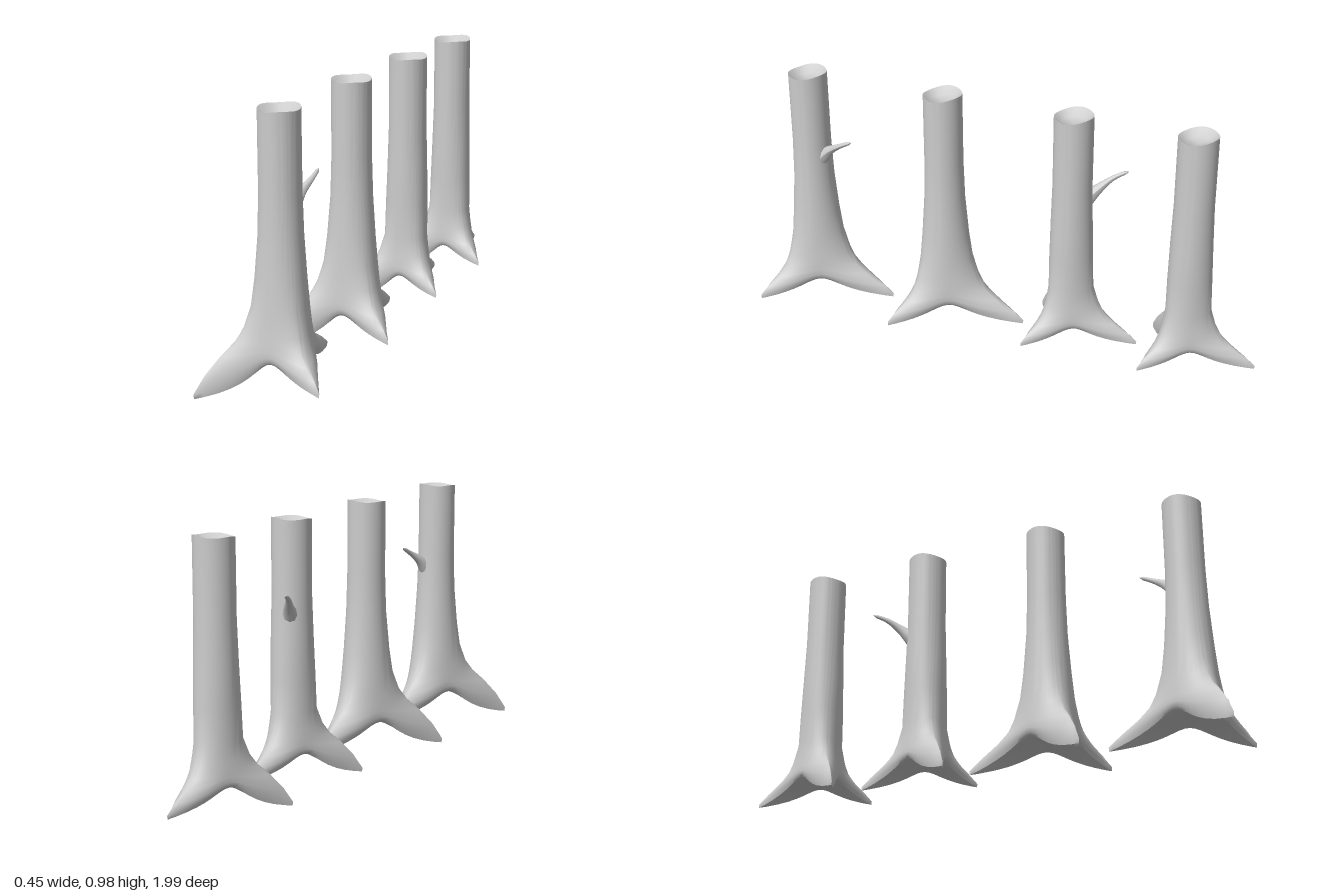
import * as THREE from 'three';
import { toCreasedNormals } from 'three/addons/utils/BufferGeometryUtils.js';

const material = new THREE.MeshStandardMaterial({ color: 0xcccccc });
const REACH = 0.325, CORE = 0.09;

// Root directions with their length, extra drop at the tip and ridge swelling
const ROOTS = [
  { angle: -0.836, length: 0.313, drop: 0.052, swell: 0.1 },
  { angle: 0.937, length: 0.27, drop: -0.01, swell: 0 },
  { angle: 3.117, length: REACH, drop: 0, swell: 0 },
];

// Rings from the hollow top, down the bark and under the roots:
// [radius at root, height at root, radius between roots, height between roots]
const RINGS = [
  [0, 0.95, 0, 0.95], [0.045, 0.955, 0.045, 0.955], [0.067, 0.976, 0.067, 0.976],
  [0.0725, 0.979, 0.0725, 0.979], [0.073, 0.7, 0.073, 0.7], [0.078, 0.55, 0.077, 0.55],
  [0.092, 0.4, 0.086, 0.4], [0.107, 0.3, 0.094, 0.3], [0.135, 0.22, 0.1, 0.235],
  [0.17, 0.172, 0.105, 0.2], [0.22, 0.137, 0.108, 0.17], [0.28, 0.1, 0.11, 0.15],
  [0.322, 0.068, 0.108, 0.135],
  [0.32, 0.052, 0.1, 0.125], [0.25, 0.082, 0.08, 0.121], [0.15, 0.108, 0.05, 0.121],
  [0, 0.122, 0, 0.122],
];
const UNDERSIDE = 13;

// Angles around the trunk, packed more closely near each root
function columns(steps = 9) {
  const list = [];
  ROOTS.forEach((root, i) => {
    const next = ROOTS[(i + 1) % 3];
    let gap = next.angle - root.angle;
    if (gap < 0) gap += Math.PI * 2;
    for (let j = 0; j < steps; j++) {
      const q = j / steps;
      list.push({ root, a: root.angle + (gap / 2) * q ** 1.5, t: q ** 1.5 });
    }
    for (let j = steps; j > 0; j--) {
      const q = j / steps;
      list.push({ root: next, a: root.angle + gap - (gap / 2) * q ** 1.5, t: q ** 1.5 });
    }
  });
  return list;
}

function trunkGeometry(rootScale) {
  const cols = columns(), n = cols.length, pos = [], index = [];
  RINGS.forEach(([rr, yr, rv, yv], k) => {
    for (const { root, a, t } of cols) {
      // Stretch the ridge to this root's own length and droop
      const f = Math.max(0, (rr - CORE) / (REACH - CORE));
      const ridgeR = rr + f * (root.length - REACH);
      const ridgeY = yr - root.drop * f * f + (k < UNDERSIDE ? root.swell * f * Math.max(0, 1 - f) : 0);
      const w = Math.sin(t * Math.PI / 2) ** (k < 9 ? 1.6 : k < 12 ? 1.2 : 1);
      let r = rr ? 1 / THREE.MathUtils.lerp(1 / ridgeR, 1 / rv, w) : 0;
      let y = THREE.MathUtils.lerp(ridgeY, yv, w);
      // Smaller trunks keep the same shaft above the flare
      r *= yr < 0.35 ? rootScale : yr < 0.5 ? (1 + rootScale) / 2 : 1;
      if (y < 0.35) y = 0.12 + (y - 0.12) * rootScale;
      const x = r * Math.sin(a), z = r * Math.cos(a);
      // Slightly uneven cut at the top
      if (yr > 0.9) y += -0.07 * z + (r / 0.0725) * 0.003 * Math.sin(3 * a);
      pos.push(x, y, z);
    }
    if (k === 0) return;
    for (let j = 0; j < n; j++) {
      const tl = (k - 1) * n + j, tr = (k - 1) * n + (j + 1) % n;
      const bl = tl + n, br = tr + n;
      if (k < RINGS.length - 1) index.push(bl, br, tr);
      else index.push(tl, bl, tr);
      if (k > 1 && k < RINGS.length - 1) index.push(tl, bl, tr);
    }
  });
  const geo = new THREE.BufferGeometry();
  geo.setAttribute('position', new THREE.Float32BufferAttribute(pos, 3));
  geo.setIndex(index);
  return toCreasedNormals(geo, 0.9);
}

// Tapered twig: a tube whose rings shrink toward a closed tip
function branchGeometry(points) {
  const curve = new THREE.CatmullRomCurve3(points.map(p => new THREE.Vector3(...p)));
  const segs = 12, sides = 10;
  const geo = new THREE.TubeGeometry(curve, segs, 1, sides);
  const pos = geo.attributes.position, v = new THREE.Vector3();
  for (let i = 0; i < pos.count; i++) {
    const ring = Math.floor(i / (sides + 1)), u = ring / segs;
    const c = curve.getPointAt(u);
    const radius = ring === segs ? 0.001 : 0.007 + 0.025 * (1 - u) ** 2;
    v.fromBufferAttribute(pos, i).sub(c).multiplyScalar(radius).add(c);
    pos.setXYZ(i, v.x, v.y, v.z);
  }
  geo.computeVertexNormals();
  return geo;
}

export function createModel() {
  const group = new THREE.Group();
  group.name = 'treeStumps';
  const trunks = [
    { z: 0.782, scale: 1, branch: [[0.02, 0.635, -0.045], [0.03, 0.675, -0.085], [0.045, 0.712, -0.14], [0.047, 0.737, -0.19]] },
    { z: 0.235, scale: 1 },
    { z: -0.27, scale: 0.84, branch: [[-0.025, 0.635, -0.045], [-0.045, 0.675, -0.085], [-0.075, 0.712, -0.13], [-0.1, 0.737, -0.182]] },
    { z: -0.725, scale: 0.84 },
  ];
  trunks.forEach(({ z, scale, branch }, i) => {
    const tree = new THREE.Group();
    tree.name = `tree${i + 1}`;
    tree.position.set(0.006, 0, z);
    const trunk = new THREE.Mesh(trunkGeometry(scale), material);
    trunk.name = 'trunkWithRoots';
    tree.add(trunk);
    if (branch) {
      const twig = new THREE.Mesh(branchGeometry(branch), material);
      twig.name = 'branch';
      tree.add(twig);
    }
    group.add(tree);
  });
  return group;
}
